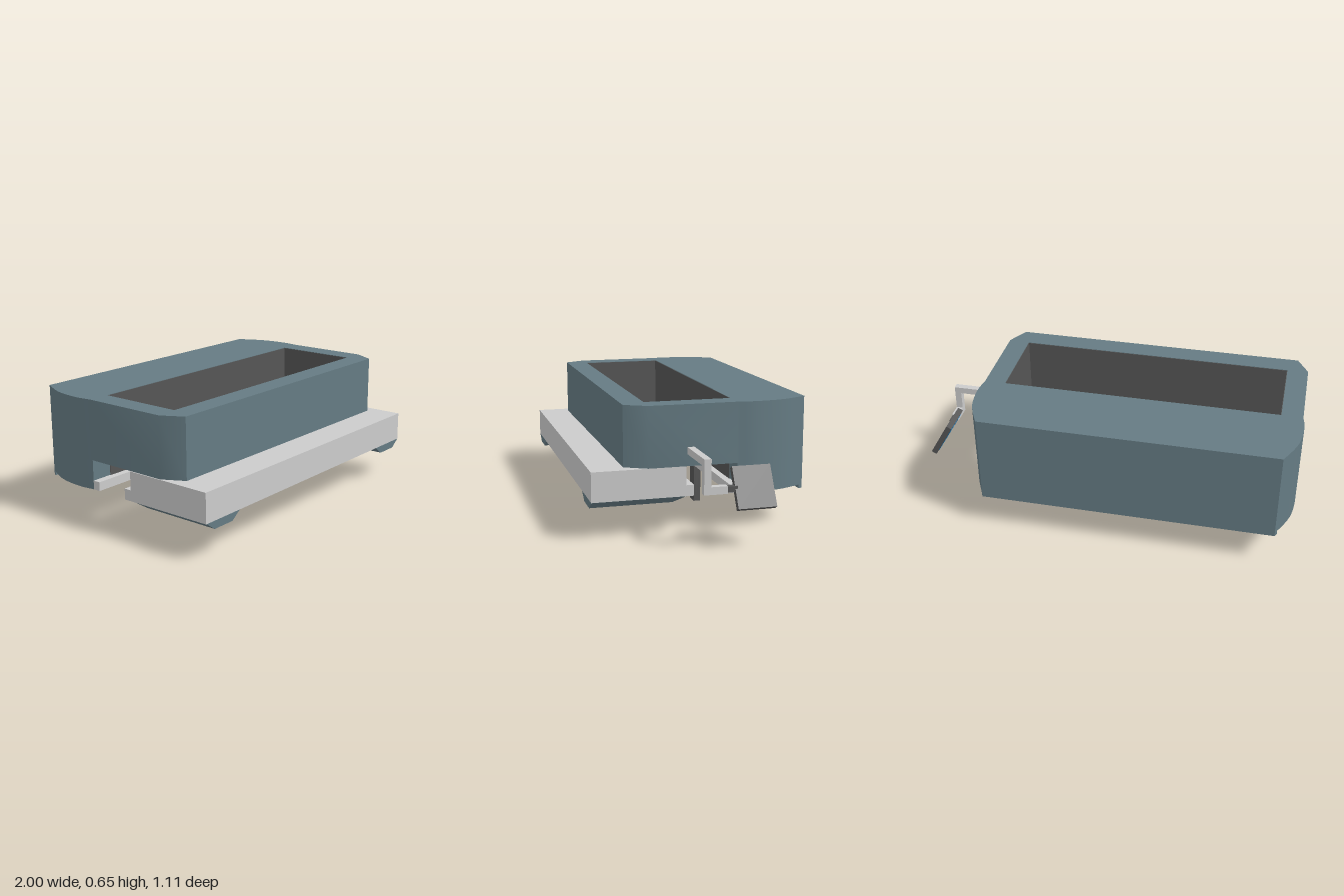
import * as THREE from 'three';
import { toCreasedNormals } from 'three/addons/utils/BufferGeometryUtils.js';

const CX = -0.155; // the body's own centre line, the side arm reaches past it

export function createModel() {
  const model = new THREE.Group();
  const paint = (color) => new THREE.MeshStandardMaterial({ color, side: THREE.DoubleSide });
  const blue = paint(0x657b83), grey = paint(0xcccccc), dark = paint(0x555555);
  const yellow = paint(0xfdf22e), screenBlue = paint(0x1177bb);

  const add = (name, geometry, material, parent = model) => {
    const mesh = new THREE.Mesh(geometry, material);
    mesh.name = name;
    parent.add(mesh);
    return mesh;
  };
  // Box given by its limits on each axis
  const block = (name, [x0, x1], [y0, y1], [z0, z1], material, parent) => {
    const g = new THREE.BoxGeometry(x1 - x0, y1 - y0, z1 - z0);
    g.translate((x0 + x1) / 2, (y0 + y1) / 2, (z0 + z1) / 2);
    return add(name, g, material, parent);
  };
  // Plan outline (x, z) pulled down from yTop to yBottom
  const slab = (name, shape, yTop, yBottom, material) => {
    const g = new THREE.ExtrudeGeometry(shape, { depth: yTop - yBottom, bevelEnabled: false, curveSegments: 16 });
    g.rotateX(Math.PI / 2);
    g.translate(CX, yTop, 0);
    return add(name, toCreasedNormals(g, 0.5), material);
  };

  // Bulged rear sides, shared by the upper and lower housing
  const bulge = new THREE.SplineCurve([[0.835, -0.18], [0.845, -0.28], [0.825, -0.42], [0.763, -0.555]]
    .map(([x, z]) => new THREE.Vector2(x, z))).getPoints(14);
  const mirrored = bulge.map((p) => new THREE.Vector2(-p.x, p.y)).reverse();
  const front = [[-0.835, 0.27], [-0.775, 0.38], [0.775, 0.38], [0.835, 0.27]].map(([x, z]) => new THREE.Vector2(x, z));

  // Upper housing with open hopper
  const upper = new THREE.Shape([...bulge, ...mirrored, ...front]);
  upper.holes.push(new THREE.Path([[-0.725, -0.178], [-0.725, 0.265], [0.725, 0.265], [0.725, -0.178]]
    .map(([x, z]) => new THREE.Vector2(x, z))));
  slab('housing', upper, 0.65, 0.345, blue);
  slab('rearHousing', new THREE.Shape([...bulge, ...mirrored]), 0.345, 0.195, blue);

  // Rear lip, following the bulge at its ends
  const lip = bulge.filter((p) => p.y < -0.515);
  slab('rearLip', new THREE.Shape([...lip, ...lip.map((p) => new THREE.Vector2(-p.x, p.y)).reverse()]), 0.195, 0.175, blue);

  // Hopper lining
  const t = 0.003;
  for (const s of [-1, 1]) {
    const x = CX + s * 0.7235;
    block('hopperLining', [x - t / 2, x + t / 2], [0.345, 0.648], [-0.178, 0.265], dark);
  }
  for (const z of [-0.178, 0.262]) {
    block('hopperLining', [CX - 0.725, CX + 0.725], [z < 0 ? 0.24 : 0.345, 0.648], [z, z + t], dark);
  }

  // Base with rear ledge, underside plate and cross rail
  block('base', [-0.995, 0.68], [0.195, 0.345], [0.08, 0.55], grey);
  block('baseLedge', [-0.995, 0.68], [0.195, 0.25], [0.04, 0.08], grey);
  block('undersidePlate', [-0.38, 0.035], [0.175, 0.195], [0.27, 0.38], grey);
  block('crossRail', [-0.99, 0.68], [0.195, 0.24], [-0.18, -0.14], grey);
  block('blade', [-0.91, 0.6], [0.155, 0.195], [-0.325, -0.285], yellow);

  // Runners: boxes narrowed at the bottom on both sides and at the rear
  for (const s of [-1, 1]) {
    const g = new THREE.BoxGeometry(0.235, 0.04, 0.47);
    const p = g.attributes.position;
    for (let i = 0; i < p.count; i++) {
      if (p.getY(i) > 0) continue;
      p.setX(i, p.getX(i) - Math.sign(p.getX(i)) * 0.055);
      if (p.getZ(i) < 0) p.setZ(i, p.getZ(i) + 0.055);
    }
    const runner = toCreasedNormals(g.toNonIndexed(), 0.1);
    add('runner', runner, blue).position.set(CX + s * 0.718, 0.175, 0.315);
  }

  // Channel-shaped legs with a mounting foot on top
  for (const x of [-0.3825, 0.0725]) {
    const leg = new THREE.Group();
    leg.name = 'leg';
    block('legWeb', [x - 0.0375, x + 0.0375], [0, 0.195], [-0.143, -0.133], dark, leg);
    for (const s of [-1, 1]) {
      const c = x + s * 0.0325;
      block('legFlange', [c - 0.005, c + 0.005], [0, 0.195], [-0.17, -0.143], dark, leg);
    }
    block('legMount', [x - 0.0375, x + 0.0375], [0.177, 0.195], [-0.21, -0.143], dark, leg);
    model.add(leg);
  }

  // Side arm
  block('armBeam', [0.68, 0.95], [0.405, 0.44], [0.04, 0.075], grey);
  block('armDrop', [0.915, 0.95], [0.27, 0.405], [0.04, 0.075], grey);
  block('armReach', [0.915, 0.95], [0.27, 0.307], [-0.04, 0.04], grey);
  block('armPivot', [0.918, 0.947], [0.275, 0.303], [-0.09, -0.04], dark);

  // Tilted control panel, its display facing the body
  const panel = new THREE.Group();
  panel.name = 'controlPanel';
  block('panelCase', [-0.015, 0.015], [-0.104, 0.104], [-0.095, 0.095], dark, panel);
  block('panelDisplay', [-0.017, -0.014], [-0.085, 0.085], [-0.078, 0.078], screenBlue, panel);
  panel.position.set(0.931, 0.288, -0.173);
  panel.rotation.z = Math.PI / 6;
  model.add(panel);

  return model;
}
